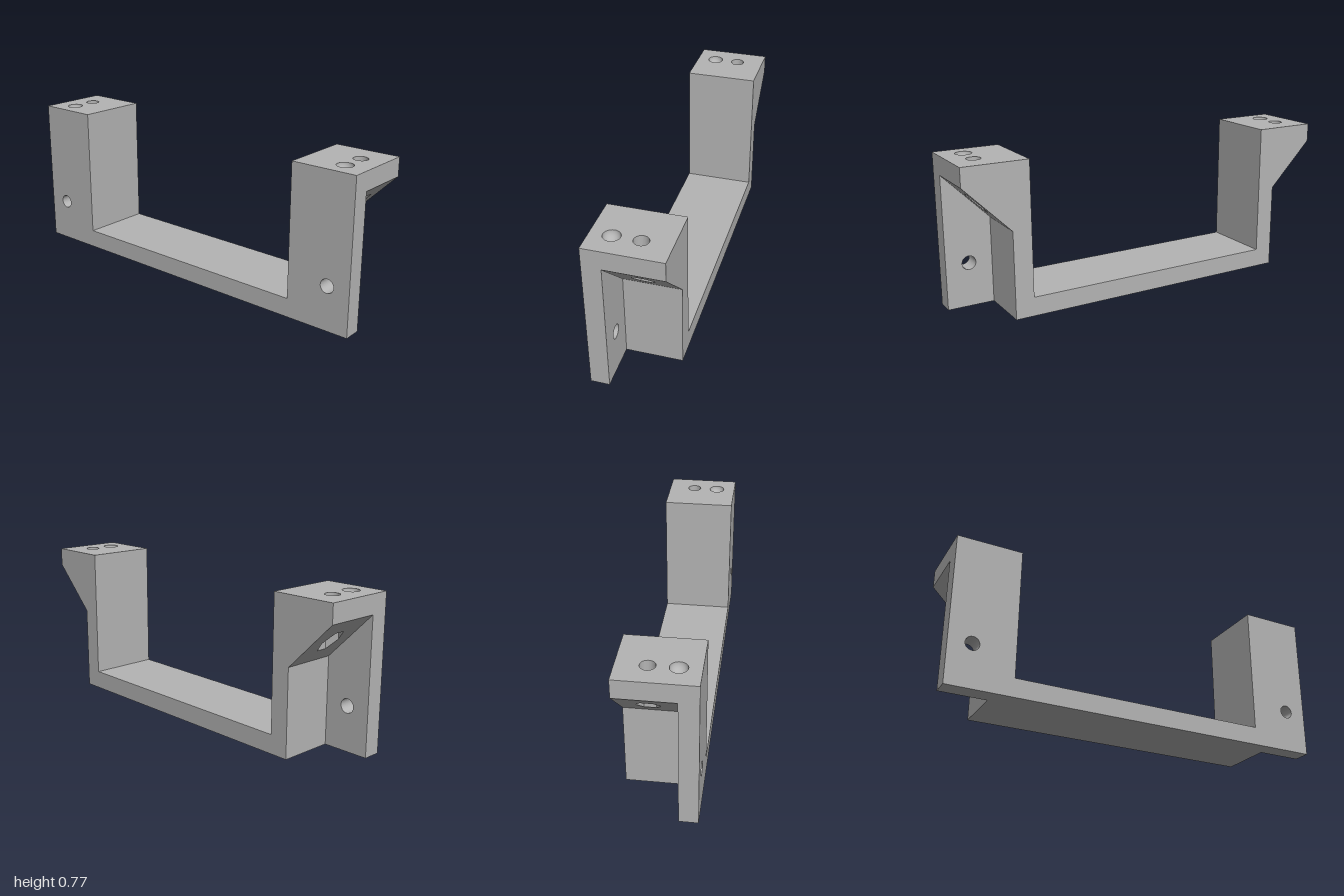
import * as THREE from 'three';

const W = 0.185;          // half width
const TOP = 0.766;        // leg height
const INNER = 0.67;       // inner wall of a leg
const RECESS = 0.765;     // back wall of the outer recess
const FLANGE = -0.094;    // inner face of the side flange
const SLOPE0 = 0.437;     // slope height at the recess wall
const SLOPE1 = 0.672;     // slope height at the outer end
const HOLE_Z = 0.883;

// Counter-clockwise shape from points, with polygon holes
function makeShape(points, holes = []) {
  const pts = points.map(([a, b]) => new THREE.Vector2(a, b));
  if (THREE.ShapeUtils.area(pts) < 0) pts.reverse();
  const shape = new THREE.Shape(pts);
  for (const h of holes) shape.holes.push(new THREE.Path(h.map(([a, b]) => new THREE.Vector2(a, b))));
  return shape;
}

function ring(cx, cy, r, sides) {
  return Array.from({ length: sides }, (_, i) => {
    const t = (i / sides) * Math.PI * 2;
    return [cx + r * Math.cos(t), cy + r * Math.sin(t)];
  });
}

const rect = (x0, x1, z0, z1) => [[x0, z0], [x1, z0], [x1, z1], [x0, z1]];

// Extrude an (x, -z) outline upwards from y0 to y1
function extrudeUp(shape, y0, y1) {
  return new THREE.ExtrudeGeometry(shape, { depth: y1 - y0, bevelEnabled: false })
    .rotateX(-Math.PI / 2).translate(0, y0, 0);
}

// Extrude a (-z, y) outline sideways from x0 to x1
function extrudeAcross(shape, x0, x1) {
  return new THREE.ExtrudeGeometry(shape, { depth: x1 - x0, bevelEnabled: false })
    .rotateY(Math.PI / 2).translate(x0, 0, 0);
}

function box(x0, x1, y0, y1, z0, z1) {
  return new THREE.BoxGeometry(x1 - x0, y1 - y0, Math.abs(z1 - z0))
    .translate((x0 + x1) / 2, (y0 + y1) / 2, (z0 + z1) / 2);
}

export function createModel() {
  const grey = new THREE.MeshStandardMaterial({ color: 0xb4b4b4 });
  grey.name = 'grey';
  const model = new THREE.Group();
  model.name = 'bracket';

  const add = (parent, name, geometry) => {
    const mesh = new THREE.Mesh(geometry, grey);
    mesh.name = name;
    parent.add(mesh);
    return mesh;
  };

  add(model, 'baseBar', box(-W, W, 0, 0.095, -INNER, INNER));

  for (const s of [1, -1]) {
    const leg = new THREE.Group();
    leg.name = s > 0 ? 'frontLeg' : 'backLeg';
    model.add(leg);

    // Top slab with a through hole and a seat for the dimple
    add(leg, 'topSlab', extrudeUp(makeShape(
      rect(-W, W, -s * INNER, -s),
      [ring(0.045, -s * HOLE_Z, 0.035, 40), ring(-0.085, -s * HOLE_Z, 0.04, 40)]
    ), SLOPE1, TOP));

    // Hemispherical dimple, facing inwards
    const bowl = Array.from({ length: 13 }, (_, i) => {
      const t = (i / 12) * Math.PI / 2;
      return new THREE.Vector2(i === 12 ? 0 : 0.04 * Math.cos(t), -0.04 * Math.sin(t));
    });
    add(leg, 'dimple', new THREE.LatheGeometry(bowl, 40)).position.set(-0.085, TOP, s * HOLE_Z);

    // Side flange with a cross hole
    add(leg, 'sideFlange', extrudeAcross(makeShape(
      rect(-s * INNER, -s, 0, SLOPE1),
      [ring(-s * HOLE_Z, 0.222, 0.035, 40)]
    ), -W, FLANGE));

    // Upright wall behind the recess
    add(leg, 'uprightWall', box(FLANGE, W, 0, SLOPE1, s * INNER, s * RECESS));

    // Overhang with a hexagonal nut pocket; its underside is sheared to a slope
    const overhang = extrudeUp(makeShape(
      rect(FLANGE, W, -s * RECESS, -s),
      [ring(0.047, -s * HOLE_Z, 0.056, 6)]
    ), SLOPE0, SLOPE1);
    const p = overhang.attributes.position;
    for (let i = 0; i < p.count; i++) {
      if (p.getY(i) < SLOPE0 + 0.01) {
        const t = (Math.abs(p.getZ(i)) - RECESS) / (1 - RECESS);
        p.setY(i, SLOPE0 + t * (SLOPE1 - SLOPE0));
      }
    }
    overhang.computeVertexNormals();
    add(leg, 'slopedOverhang', overhang);
  }
  return model;
}
